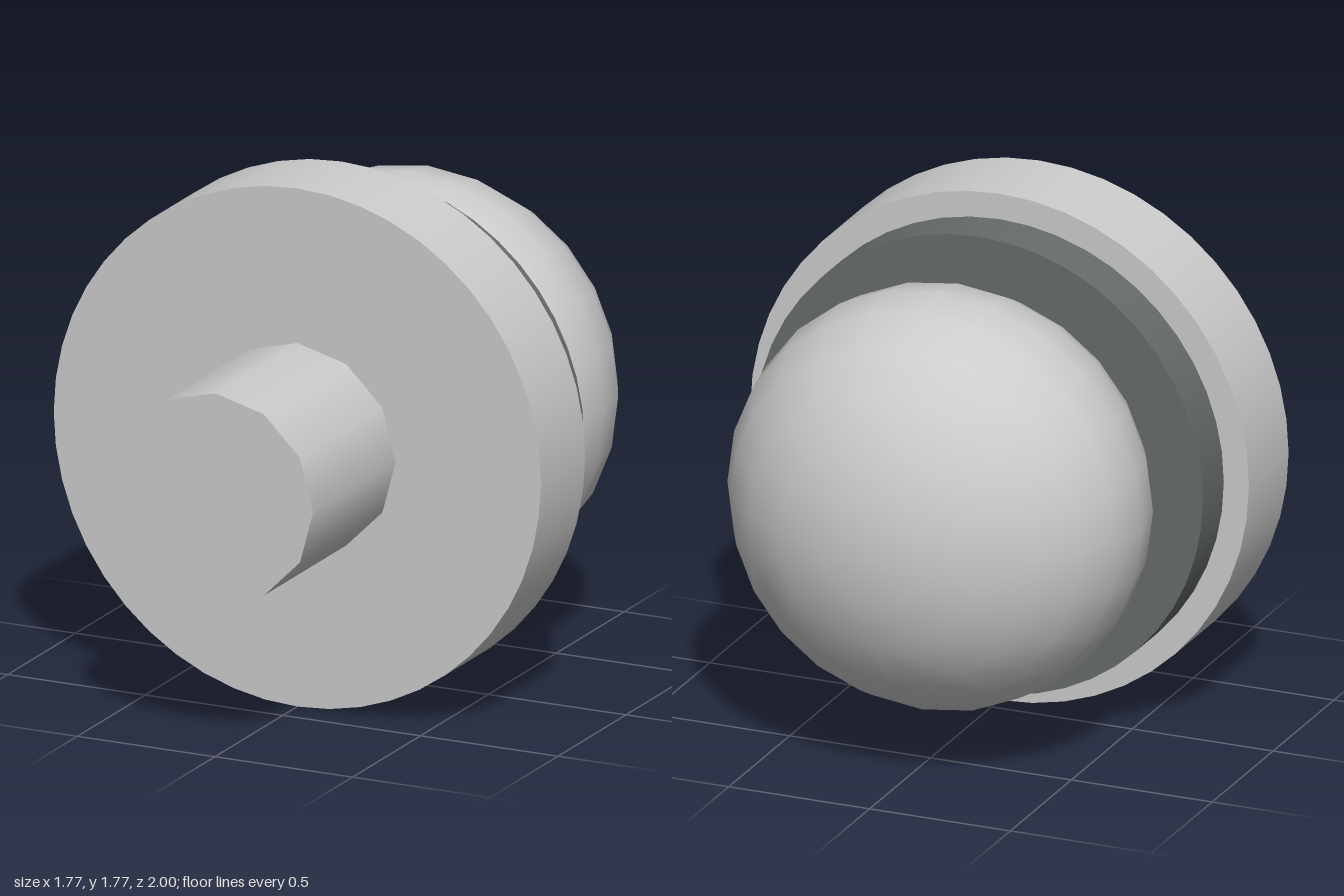
import * as THREE from 'three';

const AXIS_Y = 0.888; // height of the common axis

export function createModel() {
  const group = new THREE.Group();
  group.name = 'domedKnob';
  const grey = new THREE.MeshStandardMaterial({ color: 0xcccccc });
  const dark = new THREE.MeshStandardMaterial({ color: 0x666c69 });

  // Adds a part whose own y axis is turned to point along +z
  const add = (name, geometry, material, z) => {
    geometry.rotateX(Math.PI / 2);
    const mesh = new THREE.Mesh(geometry, material);
    mesh.name = name;
    mesh.position.set(0, AXIS_Y, z);
    group.add(mesh);
  };
  const disc = (name, radius, back, front, sides, material) =>
    add(name, new THREE.CylinderGeometry(radius, radius, front - back, sides), material, (front + back) / 2);

  // Stem, wide flange and dark collar
  disc('stem', 0.357, 0.393, 1, 12, grey);
  disc('flange', 0.885, 0.067, 0.393, 48, grey);
  disc('collar', 0.796, -0.105, 0.067, 48, dark);

  // Flattened ball, partly sunk into the collar
  add('dome', new THREE.SphereGeometry(0.715, 24, 12).scale(1, 0.58 / 0.715, 1), grey, -0.42);

  return group;
}
